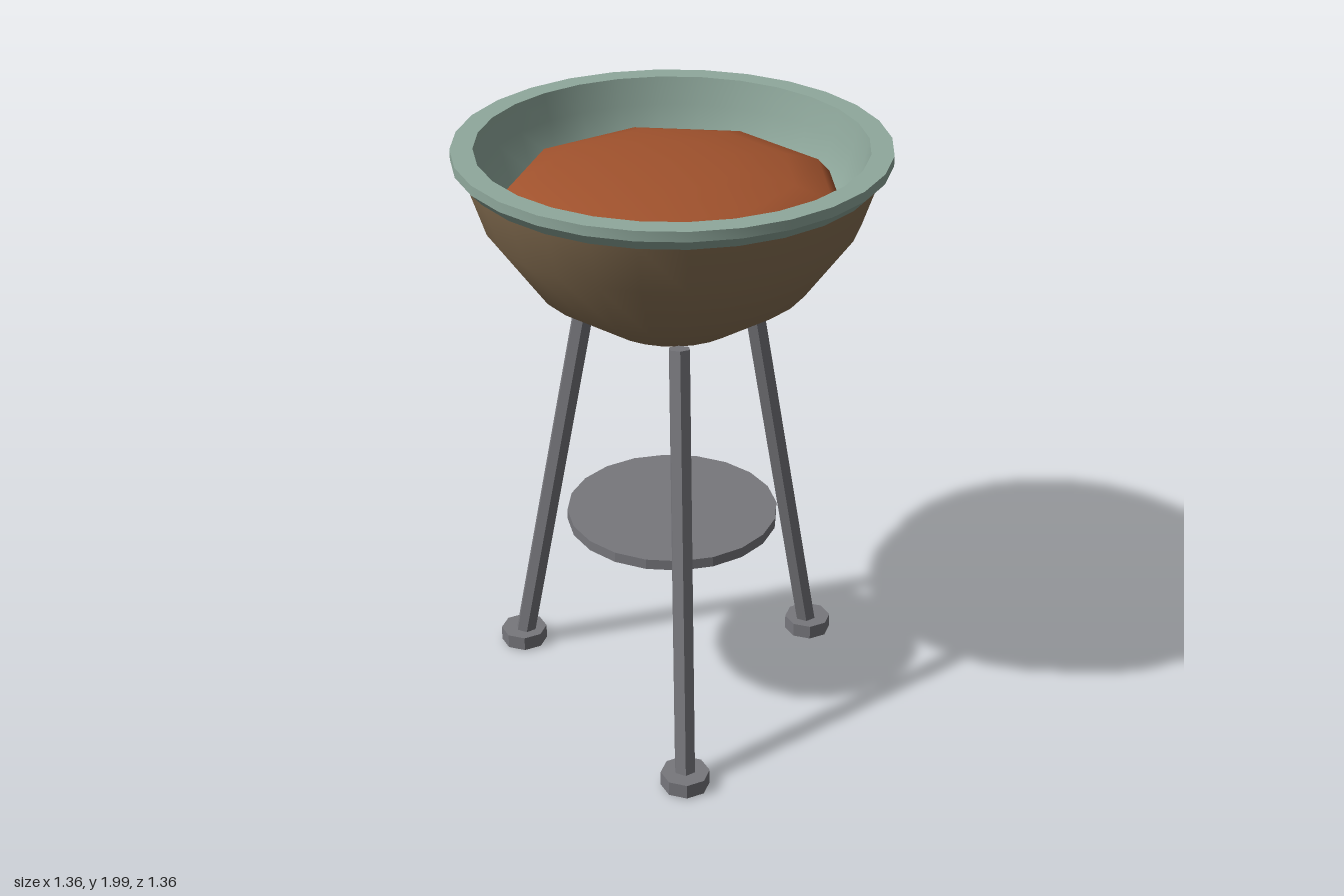
import * as THREE from 'three';
import { toCreasedNormals } from 'three/addons/utils/BufferGeometryUtils.js';

const material = (color, flatShading = false) => new THREE.MeshStandardMaterial({ color, flatShading });

function addMesh(parent, name, geometry, mat) {
  const mesh = new THREE.Mesh(geometry, mat);
  mesh.name = name;
  parent.add(mesh);
  return mesh;
}

// Turned shape, smooth along the curve but crisp at sharp corners
function turned(profile, segments) {
  const points = profile.map(([r, y]) => new THREE.Vector2(r, y));
  return toCreasedNormals(new THREE.LatheGeometry(points, segments), 0.6);
}

export function createModel() {
  const model = new THREE.Group();
  model.name = 'brazier';
  const clay = material(0x8b7355);
  const glaze = material(0x8fa89c);
  const ember = material(0xa0522d);
  const metal = material(0x77777c, true);

  // Bowl shell
  addMesh(model, 'bowl', turned([
    [0, 1.38], [0.11, 1.38], [0.23, 1.42], [0.44, 1.56], [0.59, 1.77], [0.645, 1.935],
  ], 28), clay);

  // Rim with the inner lining of the bowl
  addMesh(model, 'rimAndLining', turned([
    [0.645, 1.93], [0.68, 1.968], [0.68, 2], [0.61, 2],
    [0.592, 1.91], [0.55, 1.78], [0.41, 1.6], [0.21, 1.47], [0, 1.43],
  ], 28), glaze);

  // Domed filling
  const filling = addMesh(model, 'filling', new THREE.SphereGeometry(0.55, 9, 8), ember);
  filling.scale.y = 0.22;
  filling.position.y = 1.82;

  // Round shelf between the legs
  addMesh(model, 'shelf', new THREE.CylinderGeometry(0.35, 0.35, 0.035, 20), metal).position.y = 0.695;

  // Three splayed legs with feet, one at the front
  const bottom = new THREE.Vector3(0, 0.012, 0.59);
  const top = new THREE.Vector3(0, 1.45, 0.305);
  const axis = top.clone().sub(bottom);
  for (let i = 0; i < 3; i++) {
    const angle = (i * Math.PI * 2) / 3;
    const support = new THREE.Group();
    support.name = 'support' + (i + 1);
    support.rotation.y = angle;
    model.add(support);

    const leg = addMesh(support, 'leg', new THREE.CylinderGeometry(0.036, 0.036, axis.length(), 6), metal);
    leg.position.copy(bottom).lerp(top, 0.5);
    leg.quaternion.setFromUnitVectors(new THREE.Vector3(0, 1, 0), axis.clone().normalize());

    const foot = addMesh(support, 'foot', new THREE.CylinderGeometry(0.08, 0.08, 0.05, 8), metal);
    foot.position.set(0, 0.035, 0.59);
    foot.rotation.y = -angle;
  }
  return model;
}
